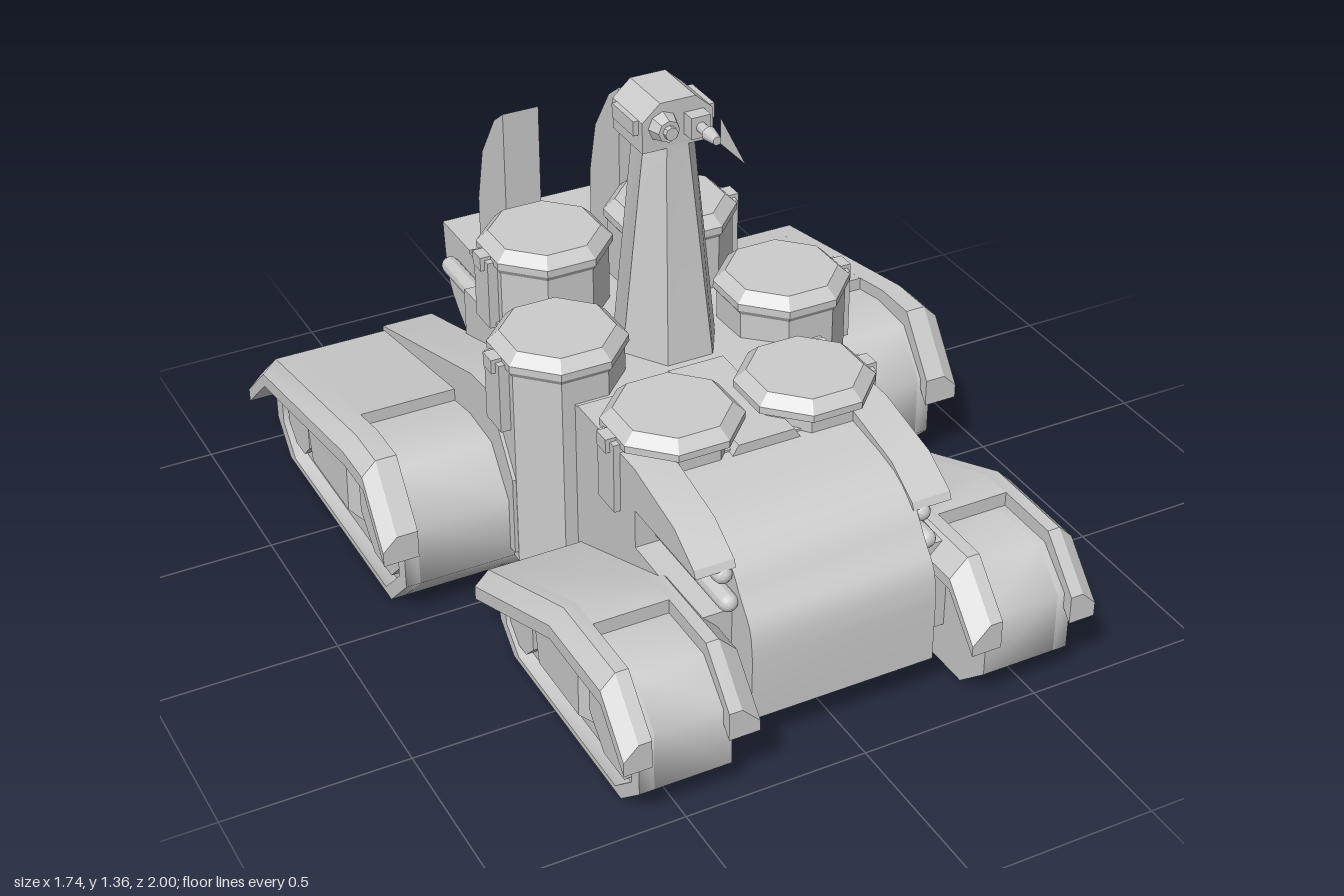
import * as THREE from 'three';
import { toCreasedNormals } from 'three/addons/utils/BufferGeometryUtils.js';

const material = new THREE.MeshStandardMaterial({ color: 0xcccccc });
const thin = new THREE.MeshStandardMaterial({ color: 0xcccccc, side: THREE.DoubleSide });

// Swap two corners of every triangle (non-indexed geometry).
function flip(geo) {
  const p = geo.attributes.position, a = new THREE.Vector3(), b = new THREE.Vector3();
  for (let i = 0; i < p.count; i += 3) {
    a.fromBufferAttribute(p, i + 1);
    b.fromBufferAttribute(p, i + 2);
    p.setXYZ(i + 1, b.x, b.y, b.z);
    p.setXYZ(i + 2, a.x, a.y, a.z);
  }
  return geo;
}

// Side profile of [z, y] points extruded from x0 to x1; a hole winds the other way.
function profile(points, x0, x1, hole) {
  const shape = new THREE.Shape(points.map(([z, y]) => new THREE.Vector2(z, y)));
  if (hole) shape.holes.push(new THREE.Path(hole.map(([z, y]) => new THREE.Vector2(z, y)).reverse()));
  return new THREE.ExtrudeGeometry(shape, { depth: x1 - x0, bevelEnabled: false })
    .rotateY(-Math.PI / 2).translate(x1, 0, 0);
}

// Closed skin through rings of [x, y, z] points, with both ends capped.
function loft(rings) {
  const pos = [], n = rings[0].length;
  const tri = (a, b, c) => pos.push(...a, ...b, ...c);
  for (let r = 0; r < rings.length - 1; r++) for (let i = 0; i < n; i++) {
    const j = (i + 1) % n, A = rings[r], B = rings[r + 1];
    tri(A[i], A[j], B[j]);
    tri(A[i], B[j], B[i]);
  }
  const first = rings[0], last = rings[rings.length - 1];
  for (let i = 1; i < n - 1; i++) {
    tri(first[0], first[i + 1], first[i]);
    tri(last[0], last[i], last[i + 1]);
  }
  const geo = new THREE.BufferGeometry();
  geo.setAttribute('position', new THREE.Float32BufferAttribute(pos, 3));
  let volume = 0;
  const v = (k) => new THREE.Vector3(pos[k], pos[k + 1], pos[k + 2]);
  for (let k = 0; k < pos.length; k += 9) volume += v(k).dot(v(k + 3).cross(v(k + 6)));
  return volume < 0 ? flip(geo) : geo;
}

const box = (w, h, d, x, y, z) => new THREE.BoxGeometry(w, h, d).translate(x, y, z);
const smooth = (pts, n = 14) =>
  new THREE.SplineCurve(pts.map((p) => new THREE.Vector2(...p))).getPoints(n).map((p) => [p.x, p.y]);
const scaled = (pts, [cz, cy], k) => pts.map(([z, y]) => [cz + (z - cz) * k, cy + (y - cy) * k]);
const octagon = (z, y, r) => Array.from({ length: 8 }, (_, i) => {
  const a = (i + 0.5) * Math.PI / 4;
  return [z + r * Math.cos(a), y + r * Math.sin(a)];
});
// Rod along z
const rod = (r0, r1, z0, z1, x, y, sides = 12) =>
  new THREE.CylinderGeometry(r1, r0, z1 - z0, sides).rotateX(Math.PI / 2).translate(x, y, (z0 + z1) / 2);
const pipe = (r, z0, z1, x, y) =>
  new THREE.CapsuleGeometry(r, z1 - z0 - 2 * r, 4, 12).rotateX(Math.PI / 2).translate(x, y, (z0 + z1) / 2);

// Fender strip following a [z, y] path; the edge at x1 has a chamfer of the given width.
function fender(path, x0, x1, drop, bevel = 0) {
  const out = x1 - Math.sign(x1 - x0) * bevel;
  return loft(path.map(([z, y]) => [
    [x0, y - drop, z], [x0, y, z], [out, y, z], [x1, y - bevel, z], [x1, y - drop, z],
  ]));
}

export function createModel() {
  const model = new THREE.Group();

  const add = (name, source, both = false, crease = 0.5) => {
    const geo = source.index ? source.toNonIndexed() : source;
    geo.deleteAttribute('uv');
    geo.deleteAttribute('normal');
    const put = (g, label) => {
      const mesh = new THREE.Mesh(toCreasedNormals(g, crease), material);
      mesh.name = label;
      model.add(mesh);
    };
    if (both) put(flip(geo.clone().scale(-1, 1, 1)), name + 'Right');
    put(geo, both ? name + 'Left' : name);
  };

  // Hull, curved hood and rear bin
  const hood = smooth([[0.885, 0.3], [0.87, 0.385], [0.82, 0.45], [0.77, 0.515], [0.67, 0.575], [0.45, 0.605]]);
  add('hood', profile([[0.4, 0.12], [0.885, 0.12], ...hood, [0.4, 0.605]], -0.26, 0.26));
  add('deckRidge', loft([[0.48, 0], [0.1, 0.005]].map(([z, h]) =>
    [[-0.11, 0.58, z], [0.11, 0.58, z], [0.08, 0.63 + h, z], [-0.08, 0.63 + h, z]])));
  add('hull', profile([[0.46, 0.12], [0.46, 0.61], [0.3, 0.63], [0.1, 0.63], [-0.58, 0.6], [-0.58, 0.12]], -0.36, 0.36));
  const bin = smooth([[-0.96, 0.6], [-0.935, 0.43], [-0.86, 0.34], [-0.74, 0.27], [-0.58, 0.22]]);
  add('rearBin', profile([[-0.5, 0.22], [-0.5, 0.59], [-0.77, 0.59], [-0.77, 0.6], ...bin], -0.26, 0.26));
  add('lowerNoseSide', profile([[0.4, 0.12], [0.78, 0.12], [0.78, 0.39], [0.4, 0.4]], 0.25, 0.36), true);
  add('hoodSide', profile([[0.14, 0.51], [0.78, 0.51], [0.77, 0.53], [0.67, 0.59], [0.46, 0.635], [0.14, 0.635]], 0.25, 0.36), true);

  // Haunches above the rear track pods
  add('haunch', profile([[0.03, 0.15], [0.03, 0.38], [-0.11, 0.58], [-0.22, 0.57], [-0.86, 0.37], [-0.86, 0.13], [-0.1, 0.13]], 0.35, 0.5), true);

  // Exhaust pipes
  for (const [y, z0, z1] of [[0.428, 0.42, 0.82], [0.492, 0.44, 0.79]]) add('frontPipe', pipe(0.026, z0, z1, 0.28, y), true);
  add('rearPipe', pipe(0.026, -0.88, -0.46, 0.285, 0.515), true);

  // Rear fins
  add('fin', profile([[-0.58, 0.57], [-0.58, 1.105], [-0.64, 1.06], [-0.73, 0.925], [-0.77, 0.76], [-0.77, 0.57]], 0.12, 0.225), true);
  add('rearPost', profile([[-0.79, 0.59], [-0.85, 0.655], [-0.85, 0.59]], -0.004, 0.004));

  // Octagonal silos with bevelled caps and side clips: x, z, top, base, body half width
  for (const [x, z, top, base, body] of [
    [0.19, 0.335, 0.7, 0.4, 0.145], [0.33, -0.035, 0.765, 0.12, 0.16], [0.19, -0.41, 0.835, 0.4, 0.16],
  ]) {
    const k = 1 / Math.cos(Math.PI / 8);
    const pts = [[0, base], [body, base], [body, top - 0.065], [0.17, top - 0.05], [0.17, top - 0.03], [0.14, top], [0, top]]
      .map(([r, y]) => new THREE.Vector2(r * k, y));
    add('silo', new THREE.LatheGeometry(pts, 8, Math.PI / 8).translate(x, 0, z), true);
    add('siloClip', box(0.05, 0.2, 0.09, x + 0.163, top - 0.14, z), true);
    add('siloClipHook', box(0.04, 0.04, 0.05, x + 0.18, top - 0.05, z), true);
  }

  // Track pods; each panel point is [z, y] at its foot, then at its raised face
  const pods = [
    {
      name: 'front', x0: 0.36, x1: 0.61, centre: [0.56, 0.17],
      outline: [[0.87, 0], [0.25, 0], [0.17, 0.07], [0.17, 0.15], [0.6, 0.36], [0.87, 0.36], [0.97, 0.265], [0.97, 0.09]],
      wheels: [[0.81, 0.185, 0.145], [0.27, 0.115, 0.085]],
      panel: [[0.67, 0.055, 0.64, 0.09], [0.37, 0.055, 0.41, 0.09], [0.37, 0.21, 0.39, 0.2], [0.67, 0.27, 0.64, 0.25]],
      path: [[1, 0.27], [0.88, 0.4], [0.6, 0.4], [0.14, 0.21]],
      middle: [[0.69, 0.4], [0.6, 0.4], [0.14, 0.21]],
      arms: [0.3, 0.385, 0.59, 0.665], innerBevel: 0.05,
    },
    {
      name: 'rear', x0: 0.43, x1: 0.8, centre: [-0.47, 0.19],
      outline: [[-0.12, 0], [-0.88, 0], [-0.965, 0.09], [-0.965, 0.22], [-0.85, 0.325], [-0.24, 0.435], [-0.1, 0.425], [0, 0.3], [0, 0.12]],
      wheels: [[-0.2, 0.205, 0.155], [-0.82, 0.145, 0.088]],
      panel: [[-0.37, 0.065, -0.41, 0.11], [-0.71, 0.065, -0.68, 0.11], [-0.72, 0.26, -0.71, 0.25], [-0.37, 0.33, -0.4, 0.31]],
      path: [[0.03, 0.31], [-0.09, 0.475], [-0.22, 0.475], [-0.85, 0.36], [-1, 0.225]],
      middle: [[-0.34, 0.453], [-0.85, 0.36], [-0.93, 0.288]],
      arms: [0.43, 0.485, 0.77, 0.868], innerBevel: 0,
    },
  ];
  for (const p of pods) {
    const [a, b, c, d] = p.arms, tag = (part) => p.name + part, floor = p.x1 - 0.04;
    add(tag('TrackCore'), profile(p.outline, p.x0, floor), true, 1);
    add(tag('TrackRim'), profile(p.outline, floor, p.x1, scaled(p.outline, p.centre, 0.9)), true, 1);
    for (const [z, y, r] of p.wheels) add(tag('Wheel'), profile(octagon(z, y, r), floor - 0.01, p.x1 - 0.012), true);
    add(tag('TrackPanel'), loft([
      p.panel.map(([z, y]) => [floor - 0.01, y, z]),
      p.panel.map(([, , z, y]) => [p.x1, y, z]),
    ]), true);
    add(tag('FenderOuter'), fender(p.path, c, d, 0.08, 0.04), true);
    add(tag('FenderInner'), fender(p.path, b, a, 0.08, p.innerBevel), true);
    add(tag('FenderTop'), fender(p.middle, b, c, 0.06), true);
  }

  // Tapering mast
  const ring = (y, rows) => [...rows.map(([x, z]) => [x, y, z]), ...rows.slice().reverse().map(([x, z]) => [-x, y, z])];
  add('mast', loft([
    ring(0.55, [[0.07, 0.08], [0.145, -0.05], [0.08, -0.23]]),
    ring(1.18, [[0.034, 0.003], [0.077, -0.05], [0.045, -0.172]]),
    ring(1.23, [[0.03, 0], [0.07, -0.05], [0.04, -0.125]]),
  ]));

  // Sensor head with lens, barrel and ears
  const face = [[0.1, 1.225], [0.1, 1.31], [0.05, 1.355], [-0.05, 1.355], [-0.1, 1.31], [-0.1, 1.225]];
  add('head', loft([-0.165, 0].map((z) => face.map(([x, y]) => [x, y, z]))));
  add('headEar', box(0.02, 0.04, 0.12, 0.105, 1.29, -0.08), true);
  add('lens', rod(0.048, 0.03, -0.02, 0.035, -0.042, 1.29, 8));
  add('lensTip', rod(0.018, 0.018, 0.03, 0.05, -0.042, 1.29, 8));
  add('gunMount', box(0.055, 0.06, 0.05, 0.045, 1.285, 0.015));
  add('gunBarrel', rod(0.014, 0.014, 0.03, 0.09, 0.045, 1.285));
  add('gunMuzzle', rod(0.02, 0.012, 0.08, 0.125, 0.045, 1.285));

  // Thin pennant ahead of the barrel
  const pennant = new THREE.Mesh(new THREE.ShapeGeometry(new THREE.Shape([
    new THREE.Vector2(0.27, 1.288), new THREE.Vector2(0.14, 1.357), new THREE.Vector2(0.14, 1.285),
  ])).rotateY(-Math.PI / 2).translate(0.045, 0, 0), thin);
  pennant.name = 'pennant';
  model.add(pennant);

  return model;
}
